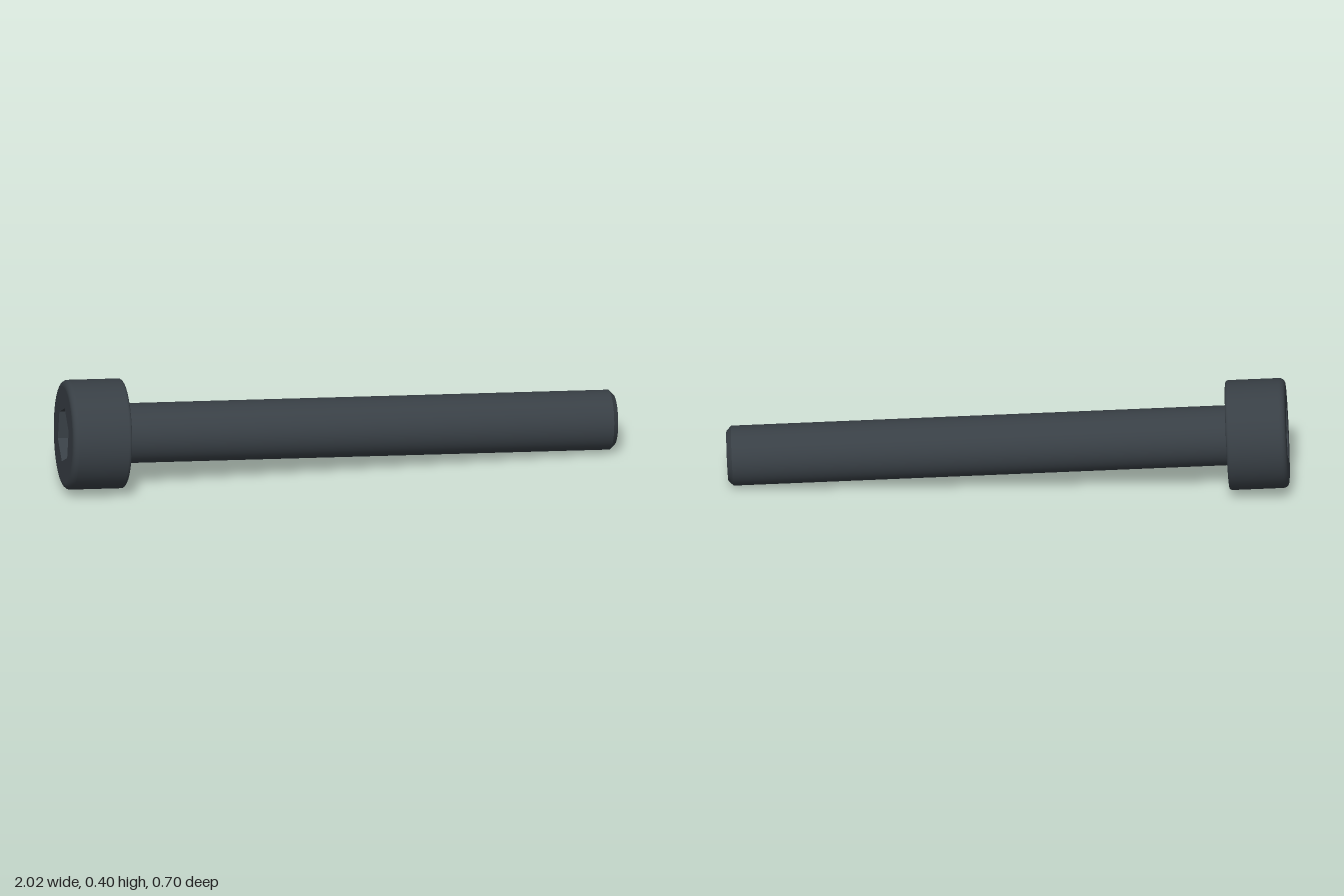
import * as THREE from 'three';

const SEG = 40;
const HEAD_R = 0.197, HEAD_LEN = 0.215, HEAD_ROUND = 0.0215, FRONT_ROUND = 0.0105;
const SHANK_R = 0.1075, LENGTH = 2.007, TIP_CHAMFER = 0.018, NECK = 0.005;
const HEX_R = 0.1035, HEX_DEPTH = 0.13;

export function createModel() {
  const steel = new THREE.MeshStandardMaterial({ color: 0x383f45 });
  steel.name = 'dark steel';

  const bolt = new THREE.Group();
  bolt.name = 'socketHeadBolt';
  const head = new THREE.Group();
  head.name = 'head';
  const shank = new THREE.Group();
  shank.name = 'shank';
  bolt.add(head, shank);

  const add = (parent, name, geometry) => {
    const mesh = new THREE.Mesh(geometry, steel);
    mesh.name = name;
    parent.add(mesh);
  };
  // One smooth band of revolution; separate bands keep the edges between them sharp
  const band = (parent, name, points) =>
    add(parent, name, new THREE.LatheGeometry(points.map(([r, y]) => new THREE.Vector2(r, y)), SEG));
  const arc = (cr, cy, radius, from, to, steps = 6) =>
    Array.from({ length: steps + 1 }, (_, i) => {
      const a = from + (to - from) * i / steps;
      return [cr + radius * Math.cos(a), cy + radius * Math.sin(a)];
    });

  // Head, from the driven face (y = 0) to the bearing face
  const Q = Math.PI / 2;
  band(head, 'headTopRound', arc(HEAD_R - HEAD_ROUND, HEAD_ROUND, HEAD_ROUND, -Q, 0));
  band(head, 'headSide', [[HEAD_R, HEAD_ROUND], [HEAD_R, HEAD_LEN - FRONT_ROUND]]);
  band(head, 'headBottomRound', arc(HEAD_R - FRONT_ROUND, HEAD_LEN - FRONT_ROUND, FRONT_ROUND, 0, Q, 4));
  band(head, 'bearingFace', [[HEAD_R - FRONT_ROUND, HEAD_LEN], [SHANK_R + NECK, HEAD_LEN]]);

  // Driven face with its hexagonal opening
  const face = new THREE.Shape();
  face.absarc(0, 0, HEAD_R - HEAD_ROUND, 0, Math.PI * 2);
  const hex = Array.from({ length: 6 }, (_, i) =>
    new THREE.Vector2(HEX_R * Math.cos(i * Math.PI / 3), HEX_R * Math.sin(i * Math.PI / 3)));
  face.holes.push(new THREE.Path(hex));
  add(head, 'drivenFace', new THREE.ShapeGeometry(face, SEG / 2).rotateX(Q));

  // Socket walls, turned to face inwards, and floor
  const walls = new THREE.CylinderGeometry(HEX_R, HEX_R, HEX_DEPTH, 6, 1, true, Q)
    .scale(1, -1, 1).translate(0, HEX_DEPTH / 2, 0).toNonIndexed();
  walls.computeVertexNormals();
  add(head, 'socketWalls', walls);
  add(head, 'socketFloor', new THREE.CircleGeometry(HEX_R, 6).rotateX(Q).translate(0, HEX_DEPTH, 0));

  // Shank with a small neck fillet and a chamfered tip
  const tipStart = LENGTH - TIP_CHAMFER;
  band(shank, 'neckFillet', arc(SHANK_R + NECK, HEAD_LEN + NECK, NECK, -Q, -2 * Q, 4));
  band(shank, 'shankSide', [[SHANK_R, HEAD_LEN + NECK], [SHANK_R, tipStart]]);
  band(shank, 'tipChamfer', [[SHANK_R, tipStart], [SHANK_R - TIP_CHAMFER, LENGTH]]);
  band(shank, 'tipFace', [[SHANK_R - TIP_CHAMFER, LENGTH], [0, LENGTH]]);

  // Lay the bolt down so that it rests on the head rim and the tip
  const axis = new THREE.Vector3(0.977, -0.0511, 0.2066).normalize();
  const side = new THREE.Vector3(-axis.z, 0, axis.x).normalize();
  const up = new THREE.Vector3().crossVectors(axis, side);
  bolt.quaternion.setFromRotationMatrix(new THREE.Matrix4().makeBasis(up, axis, side));
  bolt.position.set(-0.981, 0.2095, -0.1634);

  const model = new THREE.Group();
  model.name = 'model';
  model.add(bolt);
  return model;
}
